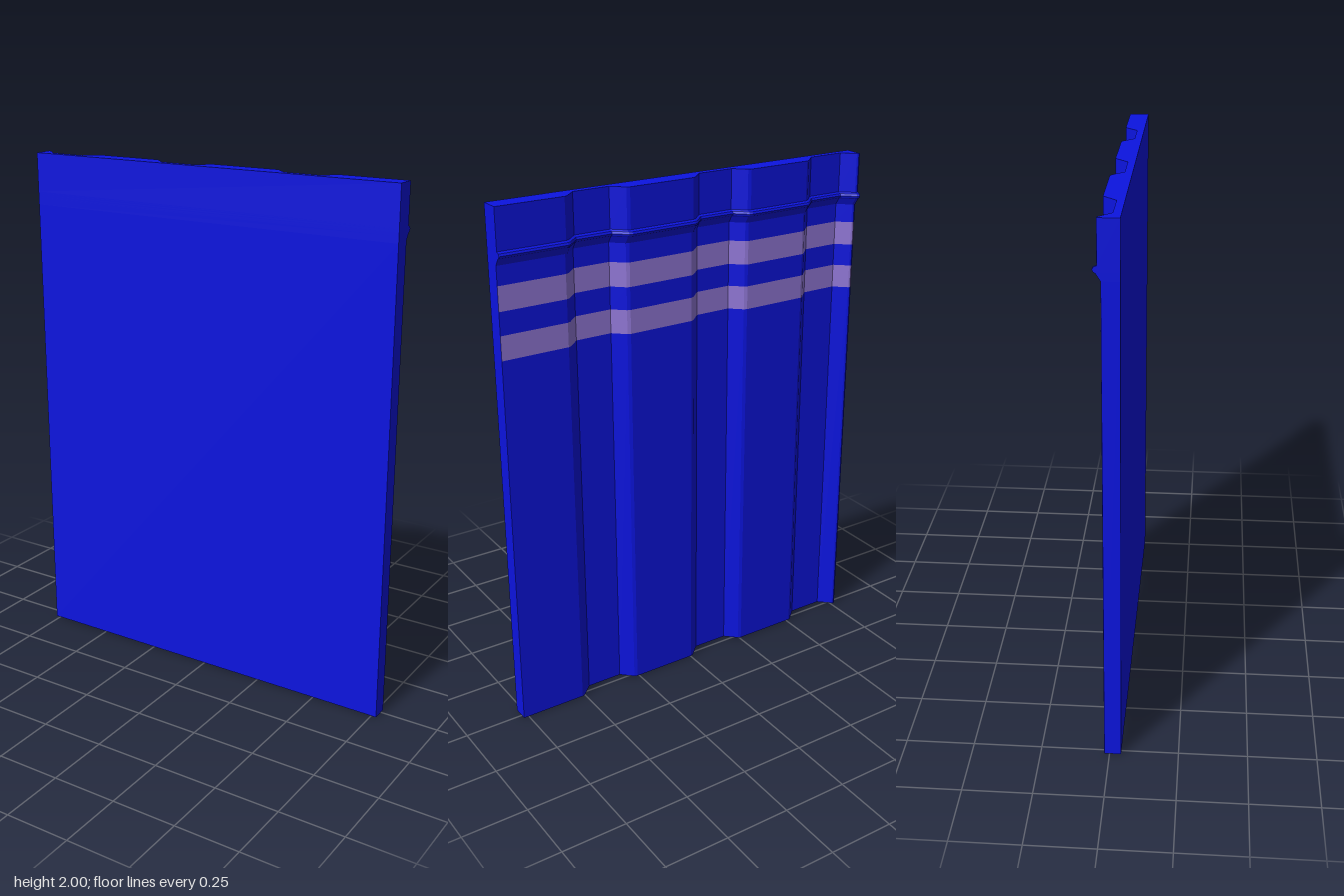
import * as THREE from 'three';

const HALF = 0.77, FRONT = 0.042, RIB = 0.047;

// Corrugation across the back, from +x to -x: [x, height 0 (valley) .. 1 (rib)]
const profile = [[HALF, 1]];
for (const c of [0.385, -0.13, -0.64]) {
  profile.push([c + 0.127, 1], [c + 0.115, 0.9], [c + 0.071, 0], [c - 0.071, 0]);
  if (c > -0.6) profile.push([c - 0.115, 0.9], [c - 0.127, 1]);
}
profile.push([-0.757, 0.93], [-0.764, 1], [-HALF, 0.97]);

// Section paths at a given rib depth (z of the rib crests is -depth)
const backPath = (depth) => profile.map(([x, h]) => [x, RIB - depth - RIB * h]);
const shellPath = (depth) => {
  const back = backPath(depth);
  return [back[back.length - 1], [-HALF, FRONT], [HALF, FRONT], back[0]];
};

// Flat-faced skin through the same path at successive heights: rows of [y, depth]
function loft(rows, path) {
  const pos = [];
  for (let r = 0; r < rows.length - 1; r++) {
    const [y0, d0] = rows[r], [y1, d1] = rows[r + 1];
    const lo = path(d0), hi = path(d1);
    for (let i = 0; i < lo.length - 1; i++) {
      const a = [lo[i][0], y0, lo[i][1]], b = [lo[i + 1][0], y0, lo[i + 1][1]];
      const c = [hi[i + 1][0], y1, hi[i + 1][1]], d = [hi[i][0], y1, hi[i][1]];
      pos.push(...a, ...b, ...c, ...a, ...c, ...d);
    }
  }
  const geo = new THREE.BufferGeometry();
  geo.setAttribute('position', new THREE.Float32BufferAttribute(pos, 3));
  geo.computeVertexNormals();
  return geo;
}

// Flat end of the slab, facing up (sign 1) or down (sign -1)
function endCap(y, depth, sign) {
  const outline = [...backPath(depth), [-HALF, FRONT], [HALF, FRONT]];
  const shape = new THREE.Shape(outline.map(([x, z]) => new THREE.Vector2(x, -sign * z)));
  return new THREE.ShapeGeometry(shape).rotateX(-sign * Math.PI / 2).translate(0, y, 0);
}

export function createModel() {
  const group = new THREE.Group();
  const blue = new THREE.MeshStandardMaterial({ color: 0x0c14e0 });
  const mauve = new THREE.MeshStandardMaterial({ color: 0x9278d8 });
  const add = (name, geo, mat = blue) => {
    const mesh = new THREE.Mesh(geo, mat);
    mesh.name = name;
    group.add(mesh);
  };

  const BODY = 0.02, CAP = 0.032;
  // Thicker head band with a rounded drip lip along its lower edge
  const head = [[1.8, BODY], [1.825, 0.036], [1.829, 0.043], [1.837, RIB], [1.845, 0.043], [1.85, CAP], [2, CAP]];

  // Corrugated back, split into plain bands and coloured stripes
  const levels = [0, 1.465, 1.555, 1.64, 1.73, 1.8];
  for (let i = 0; i < levels.length - 1; i++) {
    const stripe = i % 2 === 1;
    add(stripe ? 'stripe' : 'backPanel',
      loft([[levels[i], BODY], [levels[i + 1], BODY]], backPath), stripe ? mauve : blue);
  }
  add('headBand', loft(head, backPath));

  // Smooth front face with both side edges
  add('frontAndSides', loft([[0, BODY], ...head], shellPath));
  add('topEdge', endCap(2, CAP, 1));
  add('bottomEdge', endCap(0, BODY, -1));
  return group;
}
